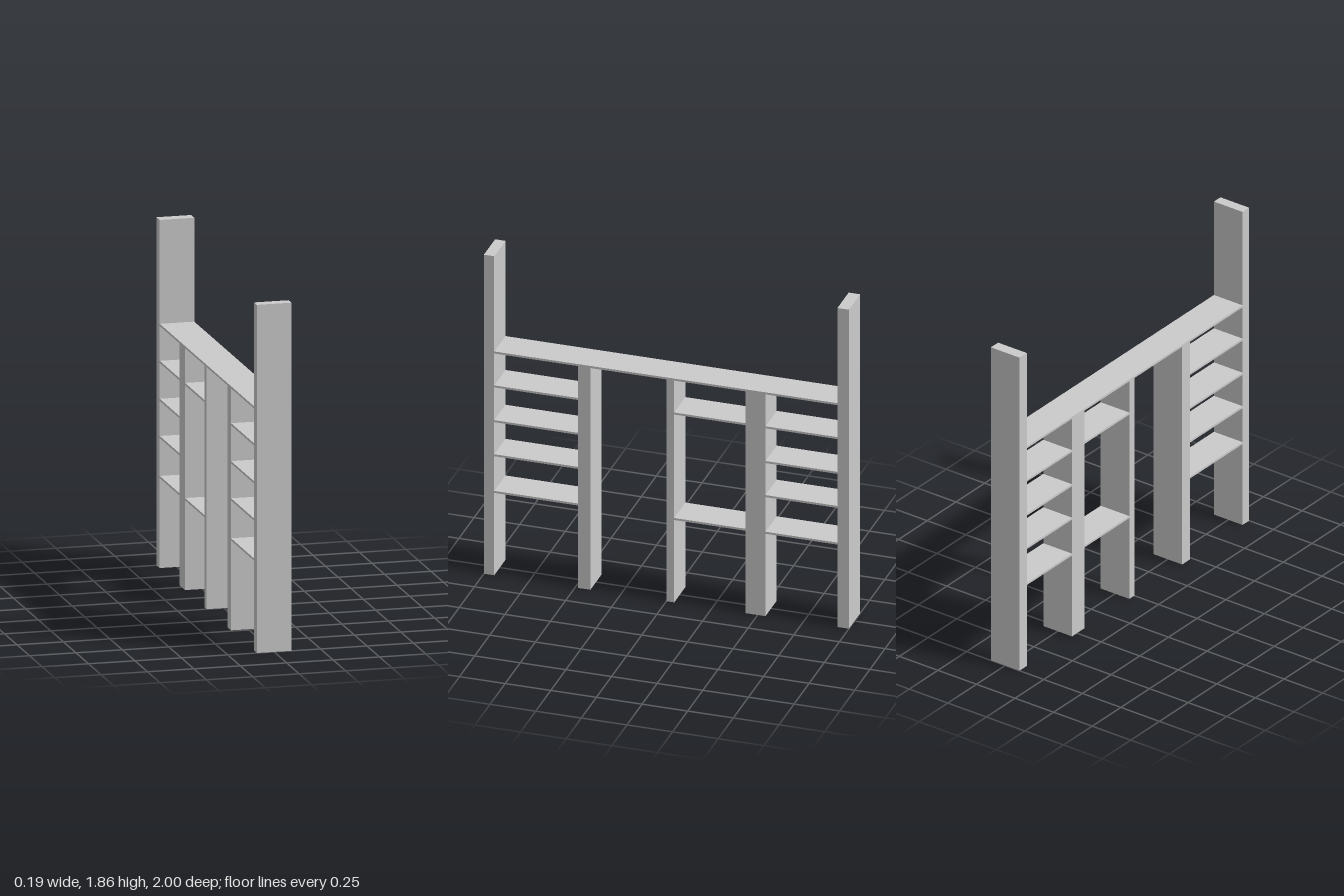
import * as THREE from 'three';

const WIDTH = 0.186;
const TOP = 1.307;      // upper face of the long top board
const THICK = 0.012;    // shelf thickness

export function createModel() {
  const model = new THREE.Group();
  const material = new THREE.MeshStandardMaterial({ color: 0xcccccc, flatShading: true });

  // Board spanning the full width between two heights and two depths
  const board = (name, y0, y1, z0, z1) => {
    const mesh = new THREE.Mesh(new THREE.BoxGeometry(WIDTH, y1 - y0, z1 - z0), material);
    mesh.name = name;
    mesh.position.set(0, (y0 + y1) / 2, (z0 + z1) / 2);
    model.add(mesh);
  };

  // Tall end posts
  board('frontEndPost', 0, 1.863, 0.943, 1);
  board('backEndPost', 0, 1.863, -1, -0.937);

  // Inner uprights under the top board; the rear one is two boards side by side
  const underside = TOP - THICK;
  board('frontUpright', 0, underside, 0.416, 0.484);
  board('middleUpright', 0, underside, -0.043, 0);
  board('rearUprightInner', 0, underside, -0.48, -0.434);
  board('rearUprightOuter', 0, underside, -0.543, -0.48);

  // Long top board
  board('topBoard', underside, TOP, -0.937, 0.943);

  // Shelves in the three bays
  const bays = [
    { name: 'frontShelf', z: [0.484, 0.943], tops: [0.493, 0.707, 0.906, 1.109] },
    { name: 'middleShelf', z: [-0.434, -0.043], tops: [0.493, 1.109] },
    { name: 'backShelf', z: [-0.937, -0.543], tops: [0.493, 0.707, 0.906, 1.109] },
  ];
  for (const { name, z, tops } of bays) {
    tops.forEach((top, i) => board(`${name}${i + 1}`, top - THICK, top, z[0], z[1]));
  }

  return model;
}
